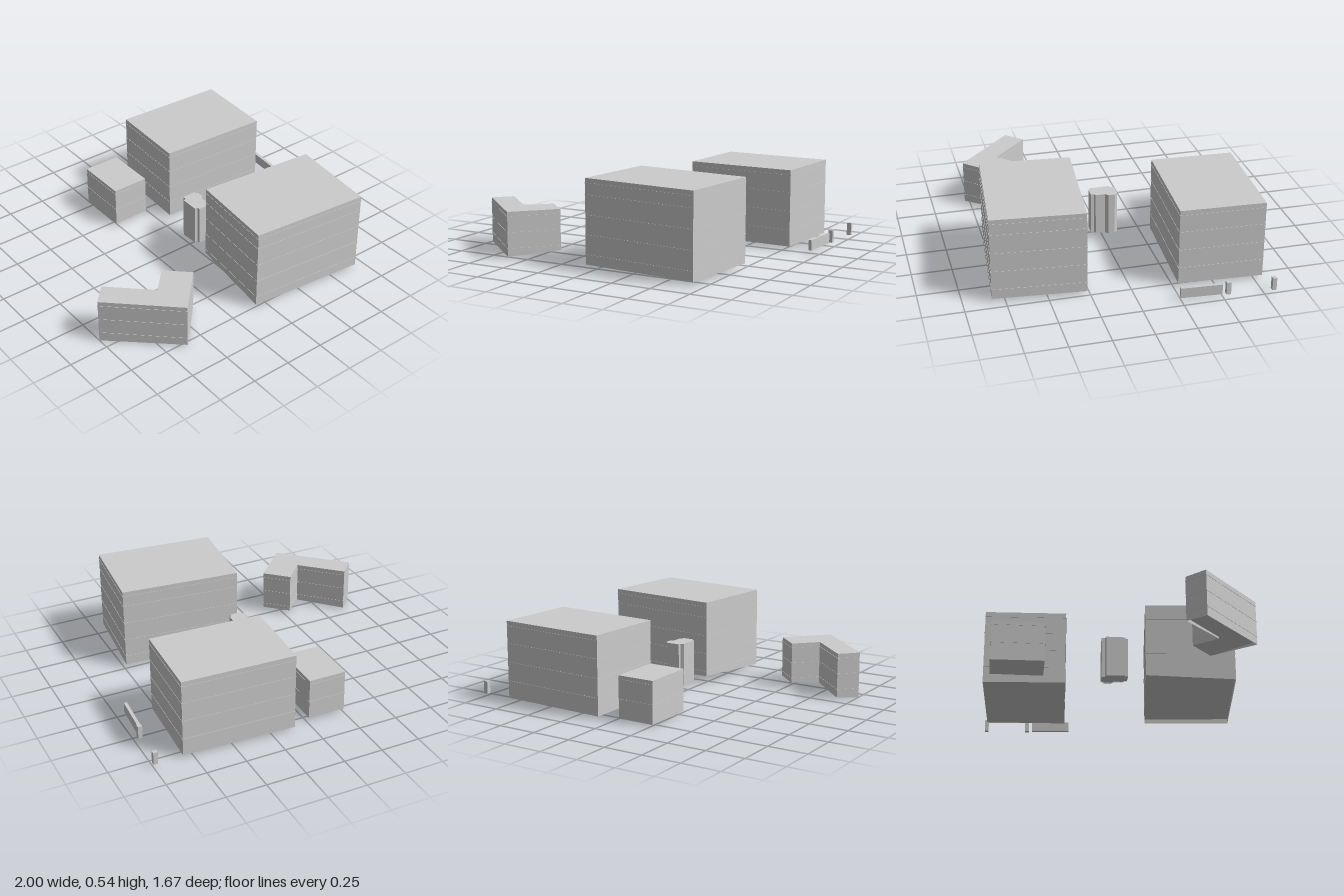
import * as THREE from 'three';

const concrete = new THREE.MeshStandardMaterial({ color: 0xcccccc, side: THREE.DoubleSide });
concrete.name = 'concrete grey';

// Upright prism over a plan outline of [x, z] points; grow pushes the outline outwards
function prism(plan, bottom, top, grow = 0) {
  const shape = new THREE.Shape(plan.map(([x, z]) => new THREE.Vector2(x, -z)));
  const geometry = new THREE.ExtrudeGeometry(shape, {
    depth: top - bottom, steps: 1,
    bevelEnabled: grow > 0, bevelSize: grow, bevelThickness: 0, bevelSegments: 0,
  });
  return geometry.rotateX(-Math.PI / 2).translate(0, bottom, 0);
}

// Let the walls run below the flat underside to the ground height at each corner
function dropWalls(geometry, plan, bottom, ground) {
  const pos = geometry.attributes.position;
  const nor = geometry.attributes.normal;
  for (let i = 0; i < pos.count; i++) {
    if (Math.abs(nor.getY(i)) > 0.5 || pos.getY(i) > bottom + 0.001) continue;
    const corner = plan.findIndex(([x, z]) => Math.hypot(x - pos.getX(i), z - pos.getZ(i)) < 0.001);
    if (corner >= 0) pos.setY(i, ground[corner]);
  }
  return geometry;
}

function mesh(name, geometry) {
  const m = new THREE.Mesh(geometry, concrete);
  m.name = name;
  return m;
}

function building({ name, plan, bottom, top, ground, floors = [] }) {
  const group = new THREE.Group();
  group.name = name;
  const body = prism(plan, bottom, top);
  group.add(mesh('walls', dropWalls(body, plan, bottom, ground ?? plan.map(() => bottom))));
  // Thin slab edges marking each storey
  floors.forEach((y) => group.add(mesh('floorEdge', prism(plan, y - 0.002, y + 0.002, 0.002))));
  return group;
}

const rect = (x0, x1, z0, z1) => [[x0, z0], [x1, z0], [x1, z1], [x0, z1]];

const buildings = [
  {
    name: 'frontBlock', bottom: 0.05, top: 0.54,
    plan: [[-0.02, 0.19], [0.735, 0.265], [0.68, 0.83], [-0.075, 0.755]],
    ground: [0.05, 0.02, 0.02, 0.02],
    floors: [0.51, 0.44, 0.32, 0.2, 0.08],
  },
  {
    name: 'rearBlock', bottom: 0.02, top: 0.507,
    plan: [[0.1, -0.835], [0.81, -0.805], [0.785, -0.28], [0.075, -0.315]],
    ground: [0.015, 0.015, 0.02, 0.02],
    floors: [0.475, 0.365, 0.245, 0.125],
  },
  {
    name: 'cornerBuilding', bottom: 0.03, top: 0.29,
    plan: [[-1, 0.425], [-0.9, 0.32], [-0.66, 0.548], [-0.53, 0.412], [-0.392, 0.542], [-0.62, 0.783]],
    ground: [0, 0.008, 0.02, 0.03, 0.03, 0.01],
    floors: [0.26, 0.16, 0.06],
  },
  {
    name: 'smallBlock', bottom: 0.02, top: 0.275,
    plan: rect(-0.26, -0.02, -0.79, -0.457),
    ground: [0.012, 0.015, 0.02, 0.015],
    floors: [0.25, 0.13],
  },
  {
    name: 'tower', bottom: 0.05, top: 0.315,
    plan: [[0.015, -0.087], [0.1, -0.087], [0.12, -0.066], [0.12, -0.025], [0.1, -0.008], [0.1, 0.053],
      [0.085, 0.06], [0.085, 0.08], [0.015, 0.08], [0.015, 0.06], [-0.005, 0.06], [-0.005, -0.058], [0.015, -0.066]],
    ground: [0.042, 0.04, 0.04, 0.041, 0.042, 0.046, 0.046, 0.048, 0.05, 0.05, 0.05, 0.045, 0.044],
  },
  {
    name: 'boundaryWall', bottom: 0.02, top: 0.085,
    plan: [[0.948, -0.498], [0.968, -0.496], [0.95, -0.243], [0.93, -0.245]],
  },
  { name: 'gatePostFront', bottom: 0.02, top: 0.1, plan: rect(0.953, 0.98, -0.545, -0.517) },
  { name: 'gatePostRear', bottom: 0.02, top: 0.1, plan: rect(0.972, 1, -0.823, -0.797) },
];

export function createModel() {
  const model = new THREE.Group();
  model.name = 'buildingCluster';
  buildings.forEach((b) => model.add(building(b)));
  return model;
}
